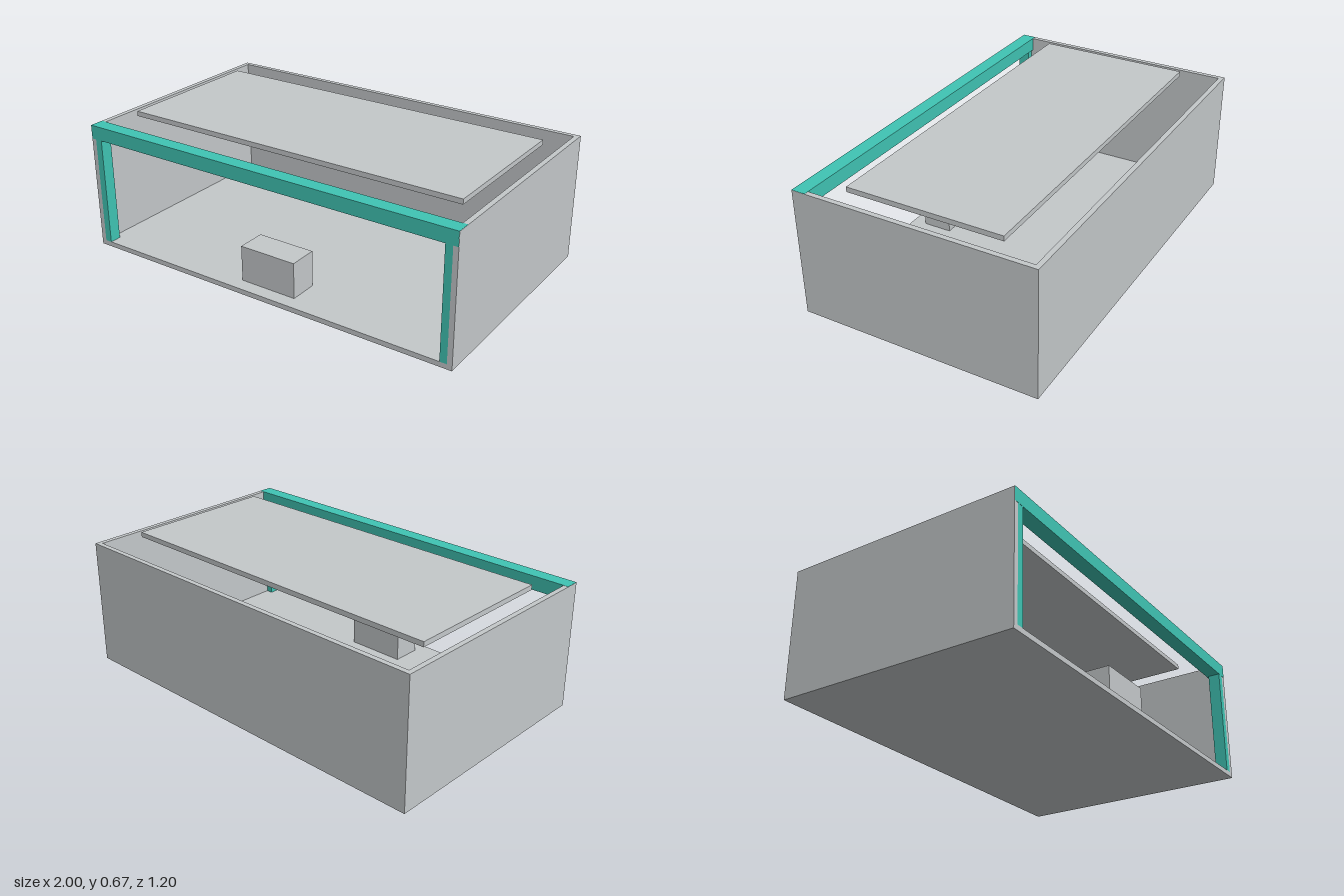
import * as THREE from 'three';

export function createModel() {
  const model = new THREE.Group();
  model.name = 'openBooth';

  const grey = new THREE.MeshStandardMaterial({ color: 0xc4c8ca });
  grey.name = 'light grey';
  const teal = new THREE.MeshStandardMaterial({ color: 0x40c4b4 });
  teal.name = 'teal';

  // Adds a box given its lower and upper bounds on each axis
  function addBox(name, material, [x0, x1], [y0, y1], [z0, z1]) {
    const mesh = new THREE.Mesh(new THREE.BoxGeometry(x1 - x0, y1 - y0, z1 - z0), material);
    mesh.position.set((x0 + x1) / 2, (y0 + y1) / 2, (z0 + z1) / 2);
    mesh.name = name;
    model.add(mesh);
  }

  const wall = 0.025;
  const height = 0.64;
  const front = 0.6;

  // Shell, open at the front and top
  addBox('floor', grey, [-1, 1], [0, wall], [-front, front]);
  addBox('backWall', grey, [-1, 1], [wall, height], [-front, -front + wall]);
  addBox('leftWall', grey, [1 - wall, 1], [wall, height], [-front + wall, front]);
  addBox('rightWall', grey, [-1, -1 + wall], [wall, height], [-front + wall, front]);

  // Front frame: a beam, set just proud of the walls, on two posts
  addBox('frontBeam', teal, [-0.999, 0.999], [0.572, height + 0.001], [0.53, front + 0.001]);
  addBox('leftPost', teal, [0.94, 1 - wall], [wall, 0.572], [0.54, front]);
  addBox('rightPost', teal, [-1 + wall, -0.94], [wall, 0.572], [0.54, front]);

  // Ceiling panel floating above the opening
  addBox('ceilingPanel', grey, [-0.9, 0.9], [0.642, 0.667], [-0.39, 0.385]);

  // Reception counter
  addBox('counter', grey, [-0.15, 0.15], [wall, 0.205], [0.385, 0.53]);

  // Display on the back wall with its mount
  addBox('display', teal, [-0.34, 0.34], [0.213, 0.532], [-0.56, -0.54]);
  addBox('displayMount', grey, [-0.33, 0.33], [0.225, 0.52], [-0.568, -0.56]);

  return model;
}
